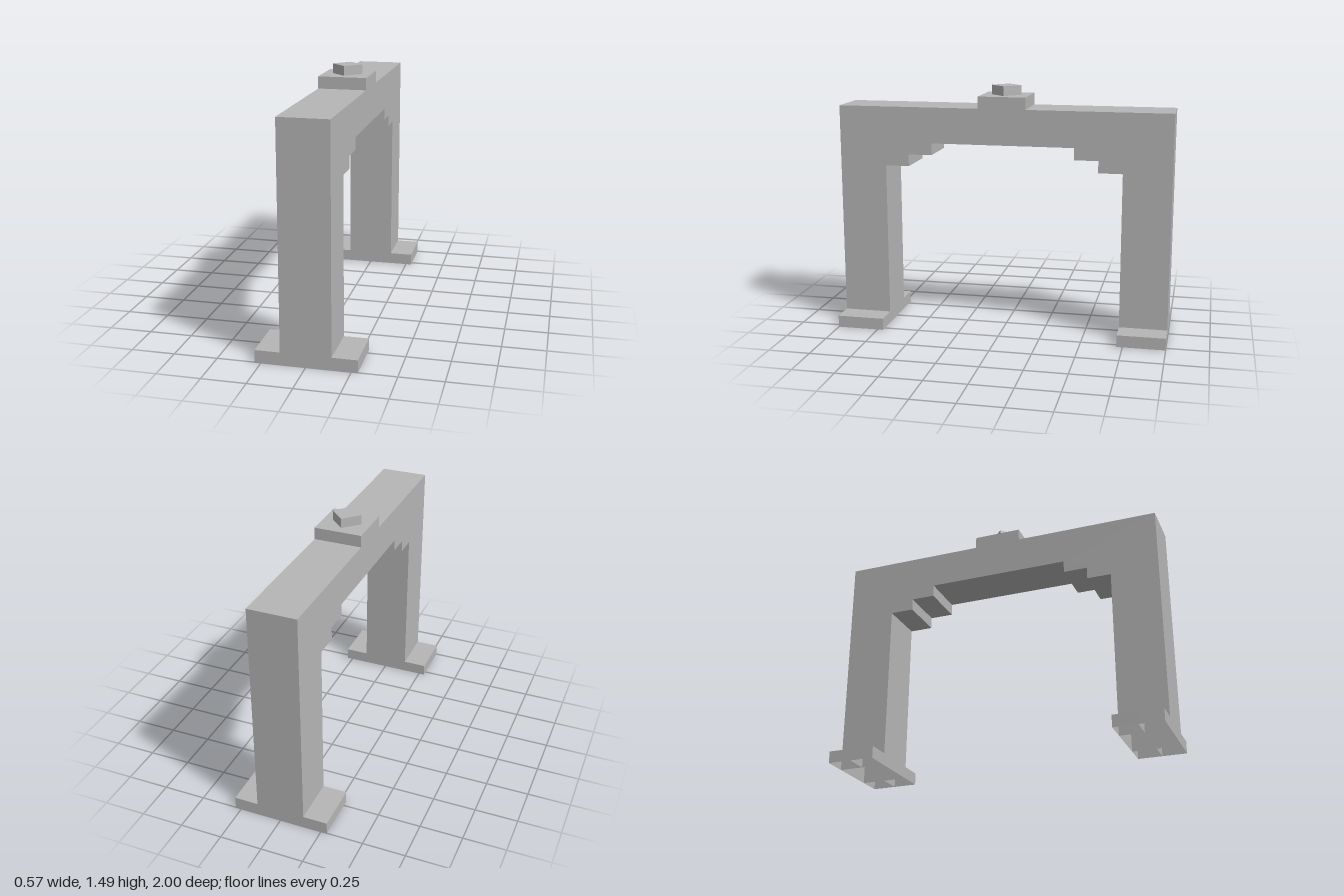
import * as THREE from 'three';

const U = 1 / 7; // grid module

// Box of thin walls, in grid modules, standing on y = 0, without the listed faces
// (face order: +x, -x, +y, -y, +z, -z)
function openBox(w, h, d, missing) {
  const geo = new THREE.BoxGeometry(w * U, h * U, d * U);
  const index = Array.from(geo.index.array);
  geo.setIndex(index.filter((_, i) => !missing.includes(Math.floor(i / 6))));
  geo.clearGroups();
  geo.translate(0, (h * U) / 2, 0);
  return geo;
}

export function createModel() {
  const model = new THREE.Group();
  model.name = 'archway';
  const grey = new THREE.MeshStandardMaterial({ color: 0xb6b6b6, side: THREE.DoubleSide });
  grey.name = 'light grey';

  const add = (parent, name, geometry, x = 0, y = 0, z = 0) => {
    const mesh = new THREE.Mesh(geometry, grey);
    mesh.name = name;
    mesh.position.set(x * U, y * U, z * U);
    parent.add(mesh);
  };

  // Beam with a stepped underside, profile drawn in (z, y) and extruded across x
  const half = [[3, 8], [3, 7.5], [4, 7.5], [4, 7], [7, 7], [7, 9.5]];
  const mirrored = half.map(([z, y]) => [-z, y]).reverse();
  const profile = new THREE.Shape([...half, ...mirrored].map(([z, y]) => new THREE.Vector2(z * U, y * U)));
  const beam = new THREE.ExtrudeGeometry(profile, { depth: 2 * U, bevelEnabled: false });
  beam.translate(0, 0, -U);
  beam.rotateY(-Math.PI / 2);
  add(model, 'steppedBeam', beam);

  // Hollow legs, each with a foot of two open cells on either side
  const legGeo = openBox(2, 7, 2, [2, 3]);
  const cellGeo = openBox(1, 0.5, 1, [3]);
  for (const end of [1, -1]) {
    const support = new THREE.Group();
    support.name = end > 0 ? 'frontSupport' : 'backSupport';
    add(support, 'leg', legGeo, 0, 0, 6 * end);
    for (const side of [1.5, -1.5]) {
      for (const z of [5.5, 6.5]) add(support, 'footCell', cellGeo, side, 0, z * end);
    }
    model.add(support);
  }

  // Raised block and four-sided stud on top
  add(model, 'crownBlock', new THREE.BoxGeometry(2 * U, 0.5 * U, 2 * U), 0, 9.75, 0);
  const stud = new THREE.CylinderGeometry(0.625 * U, 0.625 * U, 0.4 * U, 4).toNonIndexed();
  stud.computeVertexNormals();
  add(model, 'topStud', stud, 0, 10.2, 0);

  return model;
}
